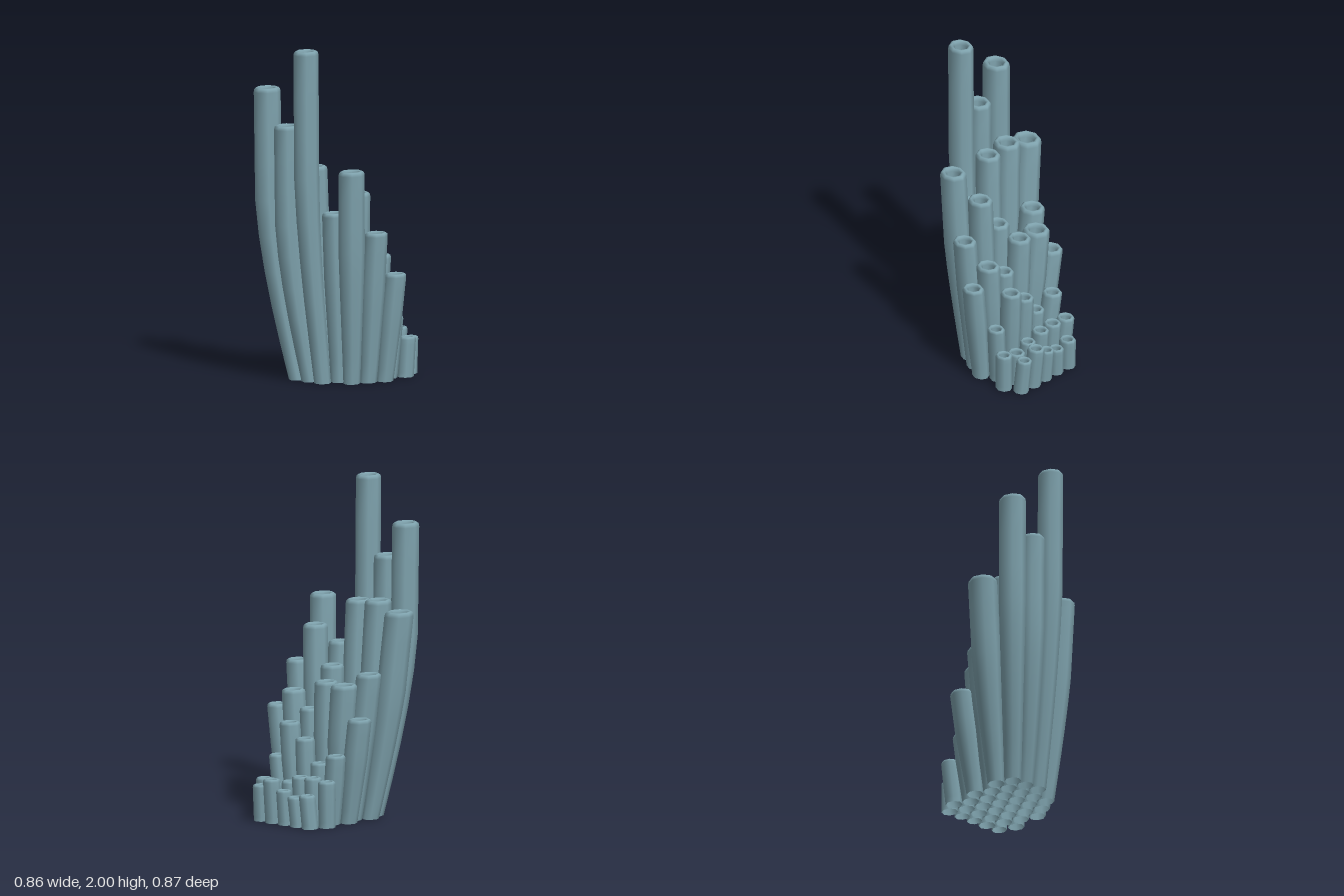
import * as THREE from 'three';

const SIDES = 8;
const SPACING = 0.096;
const clamp = THREE.MathUtils.clamp, lerp = THREE.MathUtils.lerp;

// Rows from back to front; each tube is [top x, top z, height, radius]
const rows = [
  [[-0.125, -0.37, 0.2, 0.046], [-0.03, -0.37, 0.18, 0.043], [0.055, -0.375, 0.21, 0.043],
    [0.147, -0.38, 0.265, 0.048], [0.24, -0.375, 0.22, 0.043]],
  [[-0.2, -0.28, 0.28, 0.049], [-0.09, -0.28, 0.29, 0.049], [0.01, -0.28, 0.285, 0.048],
    [0.105, -0.27, 0.245, 0.044], [0.21, -0.28, 0.22, 0.049], [0.305, -0.27, 0.24, 0.046]],
  [[-0.185, -0.185, 0.42, 0.055], [-0.05, -0.18, 0.36, 0.05], [0.055, -0.19, 0.495, 0.054],
    [0.17, -0.195, 0.58, 0.058], [0.28, -0.18, 0.37, 0.049]],
  [[-0.28, -0.08, 0.635, 0.066], [-0.157, -0.08, 0.825, 0.075], [-0.015, -0.08, 0.83, 0.066],
    [0.115, -0.08, 0.655, 0.057], [0.245, -0.08, 0.75, 0.066], [0.37, -0.08, 0.65, 0.06]],
  [[-0.245, 0.04, 0.885, 0.07], [-0.085, 0.04, 0.66, 0.06], [0.045, 0.04, 0.905, 0.065],
    [0.185, 0.045, 1.13, 0.069], [0.32, 0.04, 0.905, 0.065]],
  [[-0.35, 0.19, 1.25, 0.081], [-0.183, 0.19, 1.3, 0.075], [-0.025, 0.19, 1.285, 0.07],
    [0.115, 0.185, 1.02, 0.065], [0.26, 0.195, 1.285, 0.073]],
  [[-0.255, 0.35, 1.75, 0.075], [-0.105, 0.35, 1.54, 0.072], [0.04, 0.35, 2.0, 0.07]],
];

// Lean of the centre line: straight when short, settling upright when tall
function lean(t, h) {
  const settled = t < 0.6 ? Math.sin((t / 0.6) * Math.PI / 2) * 0.55 + (t / 0.6) * 0.4
    : 0.95 + 0.05 * (t - 0.6) / 0.4;
  return lerp(t, settled, clamp((h - 1.15) / 0.35, 0, 1));
}

// Open octagonal tube: outer wall, rounded lip, then a short inner throat
function tubeGeometry(bx, bz, tx, tz, h, r) {
  const lip = 0.35 * r;
  const rings = [];
  const wallTop = h - lip;
  for (let i = 0; i <= 8; i++) {
    const y = wallTop * i / 8;
    rings.push([y, lerp(Math.min(0.047, r), r, clamp(y / h / 0.6, 0, 1))]);
  }
  rings.push([h - lip * 0.35, r * 0.95], [h - lip * 0.05, r * 0.83], [h, r * 0.72],
    [h - lip * 0.3, r * 0.6], [h - lip, r * 0.55], [h - Math.min(0.12, h * 0.4), r * 0.55]);

  const pos = [], index = [];
  rings.forEach(([y, rad], j) => {
    const k = lean(y / h, h);
    const cx = lerp(bx, tx, k), cz = lerp(bz, tz, k);
    for (let s = 0; s < SIDES; s++) {
      const a = s / SIDES * Math.PI * 2;
      pos.push(cx + Math.sin(a) * rad, y, cz + Math.cos(a) * rad * 1.13);
      if (j === 0) continue;
      const n = (s + 1) % SIDES, lo = (j - 1) * SIDES, hi = j * SIDES;
      index.push(lo + s, lo + n, hi + n, lo + s, hi + n, hi + s);
    }
  });
  const g = new THREE.BufferGeometry();
  g.setAttribute('position', new THREE.Float32BufferAttribute(pos, 3));
  g.setIndex(index);
  g.computeVertexNormals();
  return g;
}

export function createModel() {
  const model = new THREE.Group();
  model.name = 'tubeCluster';
  const material = new THREE.MeshStandardMaterial({ color: 0x7fa3ae, side: THREE.DoubleSide });

  rows.forEach((row, r) => {
    const group = new THREE.Group();
    group.name = `tubeRow${r + 1}`;
    // Bases sit on a staggered grid, alternate rows shifted by half a step
    const startX = -0.184 + (r % 2 === 0 ? SPACING / 2 : 0);
    const baseZ = -0.355 + r * 0.095;
    row.forEach(([x, z, h, rad], i) => {
      const mesh = new THREE.Mesh(tubeGeometry(startX + i * SPACING, baseZ, x, z, h, rad), material);
      mesh.name = `tube${r + 1}_${i + 1}`;
      group.add(mesh);
    });
    model.add(group);
  });
  return model;
}
